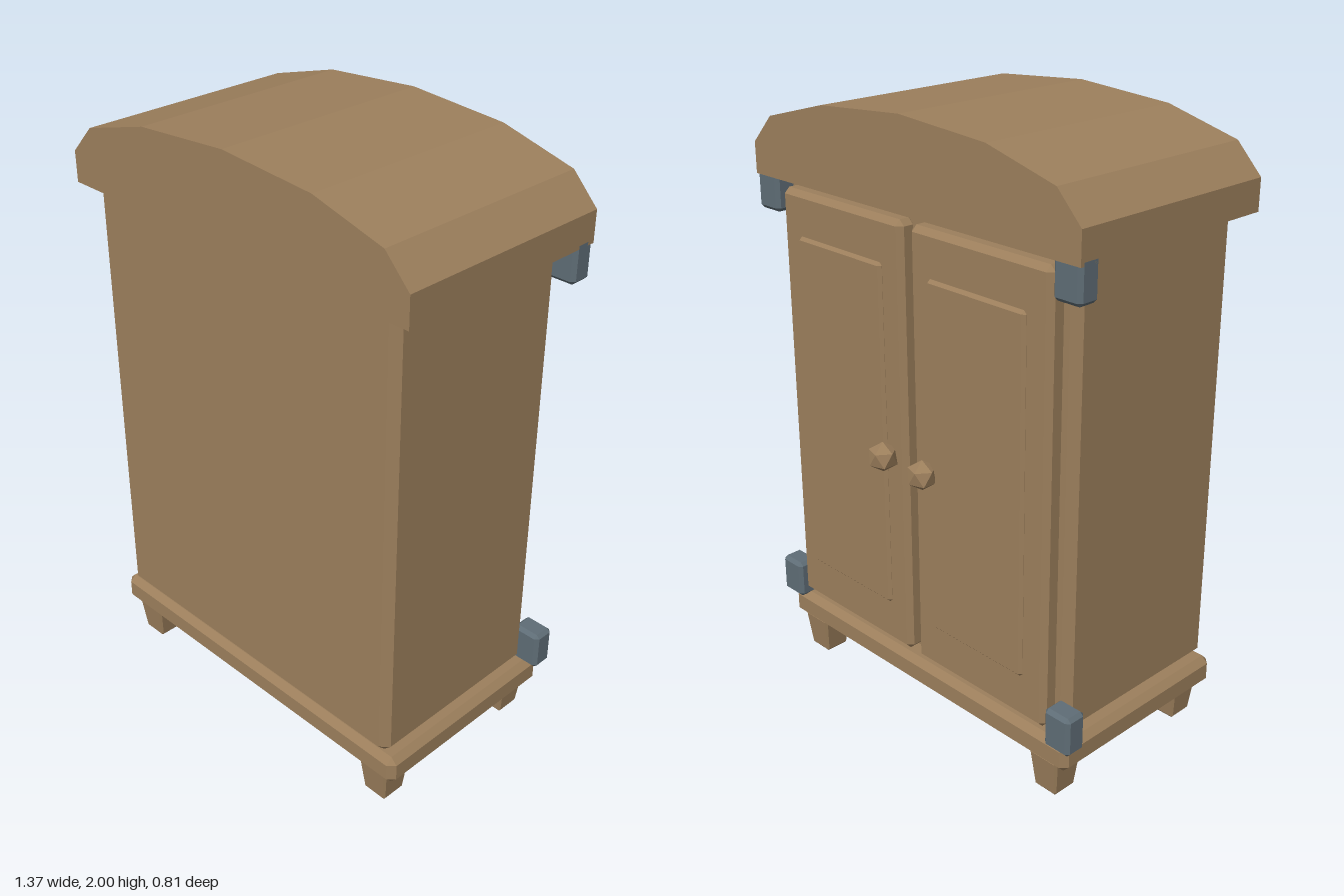
import * as THREE from 'three';
import { ConvexGeometry } from 'three/addons/geometries/ConvexGeometry.js';

export function createModel() {
  const model = new THREE.Group();
  model.name = 'wardrobe';
  const wood = new THREE.MeshStandardMaterial({ color: 0x9c7f5c });
  wood.name = 'wood';
  const iron = new THREE.MeshStandardMaterial({ color: 0x5f6d76 });
  iron.name = 'iron';

  const add = (name, geometry, material = wood) => {
    const mesh = new THREE.Mesh(geometry, material);
    mesh.name = name;
    model.add(mesh);
    return mesh;
  };

  // Box with chamfered edges, given by its limits; the bottom may taper
  const chamferBox = (x0, x1, y0, y1, z0, z1, c, taper = 1) => {
    const hx = (x1 - x0) / 2, hy = (y1 - y0) / 2, hz = (z1 - z0) / 2;
    const points = [];
    for (const sx of [-1, 1]) for (const sy of [-1, 1]) for (const sz of [-1, 1]) {
      for (let face = 0; face < 3; face++) {
        const y = sy * (hy - (face === 1 ? 0 : c));
        const k = taper + (1 - taper) * (y + hy) / (2 * hy);
        points.push(new THREE.Vector3(
          sx * (hx - (face === 0 ? 0 : c)) * k, y, sz * (hz - (face === 2 ? 0 : c)) * k));
      }
    }
    const geometry = new ConvexGeometry(points);
    geometry.translate((x0 + x1) / 2, (y0 + y1) / 2, (z0 + z1) / 2);
    return geometry;
  };

  // Carcass and plinth
  add('cabinetBody', chamferBox(-0.62, 0.62, 0.22, 1.73, -0.28, 0.38, 0.027));
  add('plinth', chamferBox(-0.655, 0.655, 0.12, 0.22, -0.325, 0.385, 0.022));

  // Arched top
  const arch = [[-0.685, 1.715], [0.685, 1.715], [0.685, 1.815], [0.597, 1.907],
    [0.343, 1.975], [0, 2], [-0.343, 1.975], [-0.597, 1.907], [-0.685, 1.815]];
  const top = new THREE.ExtrudeGeometry(
    new THREE.Shape(arch.map(([x, y]) => new THREE.Vector2(x, y))),
    { depth: 0.75, bevelEnabled: false });
  top.translate(0, 0, -0.345);
  add('archedTop', top);

  for (const side of [-1, 1]) {
    const label = side > 0 ? 'left' : 'right';
    // Mirrors x limits to the chosen side
    const box = (a, b, ...rest) =>
      side > 0 ? chamferBox(a, b, ...rest) : chamferBox(-b, -a, ...rest);

    // Tapered feet
    for (const z of [0.31, -0.255]) {
      add(label + 'Foot', box(0.497, 0.613, 0, 0.135, z - 0.058, z + 0.058, 0.008, 0.74));
    }

    // Door, raised panel and faceted knob
    add(label + 'Door', box(0.018, 0.575, 0.25, 1.69, -0.335, -0.265, 0.018));
    add(label + 'DoorPanel', box(0.1, 0.49, 0.4, 1.55, -0.346, -0.32, 0.01));
    const knob = new THREE.IcosahedronGeometry(0.05, 0);
    knob.rotateZ(Math.atan(2 / (1 + Math.sqrt(5))));
    add(label + 'Knob', knob).position.set(side * 0.09, 0.937, -0.363);

    // Corner brackets
    add(label + 'LowerBracket', box(0.585, 0.685, 0.21, 0.343, -0.345, -0.268, 0.012), iron);
    add(label + 'UpperBracket', box(0.585, 0.685, 1.605, 1.738, -0.344, -0.268, 0.012), iron);
  }
  return model;
}
